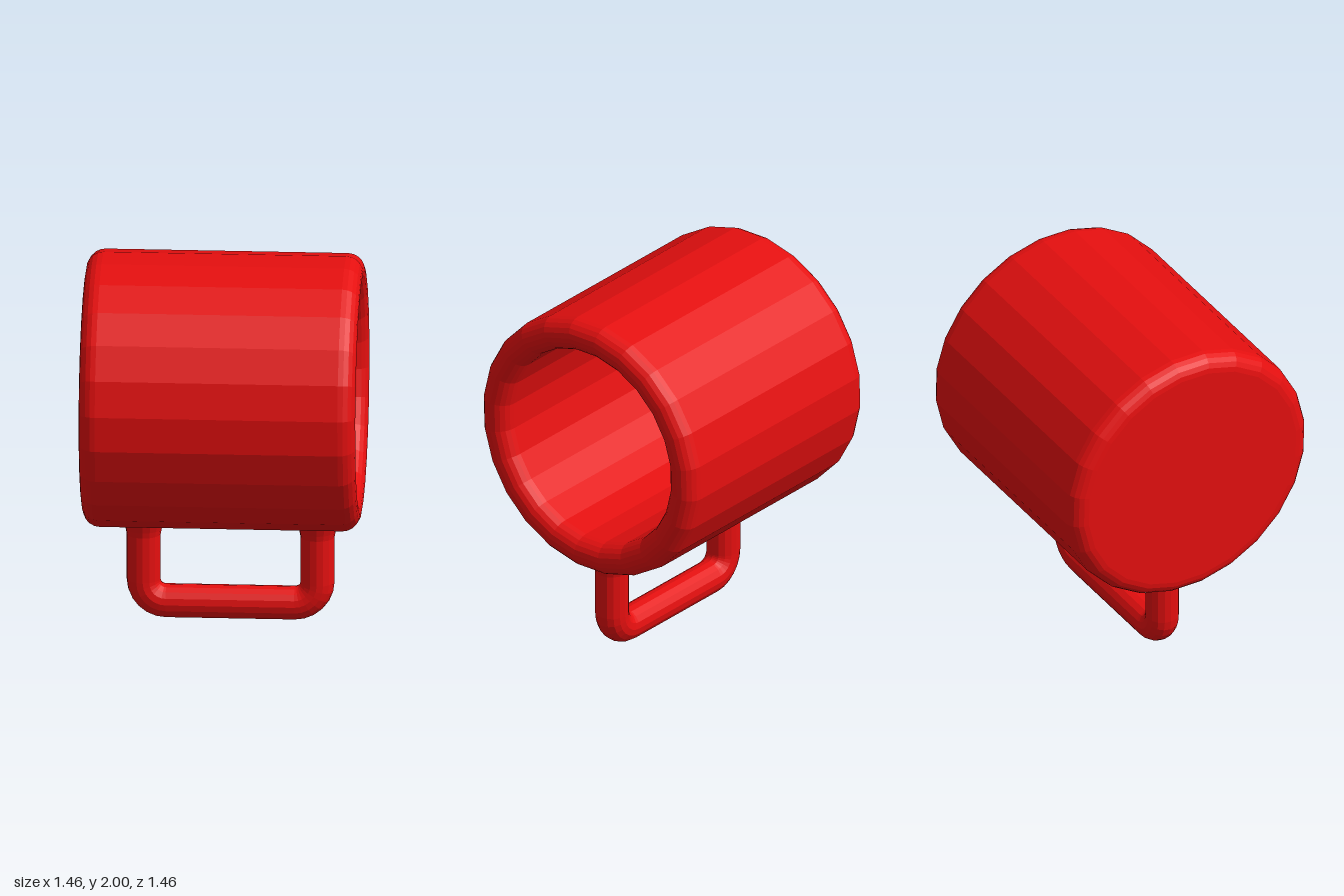
import * as THREE from 'three';

const V = (x, y) => new THREE.Vector2(x, y);

// Points along a circular fillet, angles in degrees
function arc(cx, cy, r, from, to, steps) {
  const pts = [];
  for (let i = 0; i <= steps; i++) {
    const a = THREE.MathUtils.degToRad(from + ((to - from) * i) / steps);
    pts.push(V(cx + r * Math.cos(a), cy + r * Math.sin(a)));
  }
  return pts;
}

export function createModel() {
  const red = new THREE.MeshStandardMaterial({ color: 0xe50f0f, flatShading: true });
  red.name = 'red';
  const group = new THREE.Group();
  group.name = 'mug';

  const add = (name, geometry, x, y, parent) => {
    const mesh = new THREE.Mesh(geometry, red);
    mesh.name = name;
    mesh.position.set(x, y, 0);
    parent.add(mesh);
    return mesh;
  };

  // Hollow cup lying on its side: base at -x, open rounded rim at +x
  const R = 0.736, H = 0.732, f = 0.09, inner = R - 2 * f, floor = -0.56;
  const profile = [
    V(0, -H),
    ...arc(R - f, -H + f, f, -90, 0, 5),
    ...arc(R - f, H - f, f, 0, 180, 10),
    ...arc(inner - f, floor + f, f, 0, -90, 5),
    V(0, floor),
  ];
  const cup = new THREE.LatheGeometry(profile, 24, THREE.MathUtils.degToRad(9));
  cup.rotateZ(-Math.PI / 2);
  add('cup', cup, 0, 1.267, group);

  // Handle: two flared legs, two bends and a grip below the cup
  const handle = new THREE.Group();
  handle.name = 'handle';
  handle.position.x = 0.035;
  group.add(handle);
  const t = 0.09, bend = 0.12, half = 0.46, sides = 16;
  const legProfile = [
    V(t, t + bend), V(t, 0.46), V(0.096, 0.49), V(0.108, 0.53), V(0.125, 0.57),
  ];
  for (const s of [-1, 1]) {
    const side = s > 0 ? 'Left' : 'Right';
    add('leg' + side, new THREE.LatheGeometry(legProfile, sides), s * half, 0, handle);
    const corner = new THREE.TorusGeometry(bend, t, sides, 6, Math.PI / 2);
    corner.rotateZ(s > 0 ? -Math.PI / 2 : Math.PI);
    add('bend' + side, corner, s * (half - bend), t + bend, handle);
  }
  const grip = new THREE.CylinderGeometry(t, t, 2 * (half - bend), sides, 1, true);
  grip.rotateZ(Math.PI / 2);
  add('grip', grip, 0, t, handle);

  return group;
}
